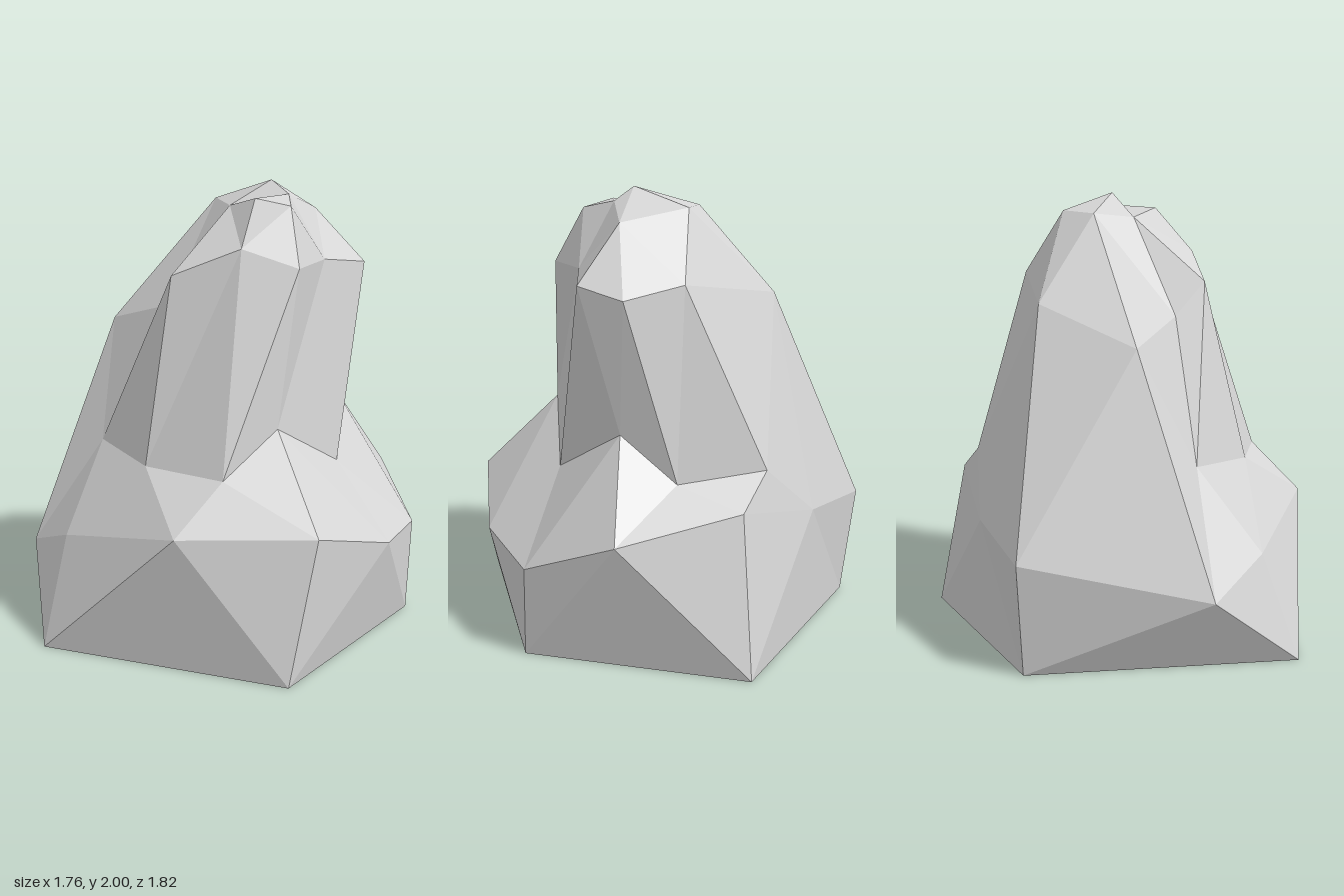
import * as THREE from 'three';

// Faceted boulder: five irregular rings from ground to crown, stitched with triangles.
// Every ring starts at the front left and runs counter-clockwise seen from above.
const base = [[-0.34, 0, 0.91], [0.75, 0, 0.64], [0.80, 0, -0.37], [-0.06, 0, -0.91], [-0.82, 0, -0.19]];

const shoulder = [
  [-0.34, 0.47, 0.74], [0.30, 0.60, 0.81], [0.80, 0.61, 0.50], [0.88, 0.46, 0.01], [0.80, 0.42, -0.41],
  [0.48, 0.60, -0.72], [-0.07, 0.70, -0.76], [-0.51, 0.57, -0.50], [-0.885, 0.505, -0.19], [-0.66, 0.34, 0.60],
];

// Foot of the spire, rising into its left flank
const ledge = [
  [-0.36, 0.84, 0.45], [0, 0.81, 0.60], [0.38, 0.80, 0.57], [0.48, 0.98, 0.30], [0.56, 0.76, -0.09],
  [0.37, 0.99, -0.43], [0.16, 0.79, -0.57], [-0.23, 0.83, -0.62], [-0.40, 1.53, -0.25], [-0.47, 1.36, 0.21],
];

const spire = [
  [-0.10, 1.46, 0.29], [0, 1.61, 0.40], [0.28, 1.73, 0.28], [0.50, 1.65, 0.17], [0.46, 1.66, -0.12],
  [0.53, 1.63, -0.37], [0.37, 1.58, -0.50], [0.10, 1.63, -0.49], [0.01, 1.92, -0.27], [-0.10, 1.91, -0.09],
];

const crown = [
  [0.07, 1.89, 0.05], [0.24, 1.93, 0.11], [0.39, 1.90, 0.06],
  [0.29, 1.94, -0.09], [0.32, 1.87, -0.28], [0.20, 2.00, -0.09],
];

// Stitch two closed rings: L steps along the lower ring, U along the upper one
function stitch(out, lower, upper, steps) {
  let l = 0, u = 0;
  for (const step of steps) {
    const a = lower[l % lower.length], b = upper[u % upper.length];
    if (step === 'L') out.push(a, lower[++l % lower.length], b);
    else out.push(a, upper[++u % upper.length], b);
  }
}

// Close a ring with a fan of triangles from one corner
function cap(out, ring, start, faceDown) {
  const at = (i) => ring[(start + i) % ring.length];
  for (let i = 1; i < ring.length - 1; i++) {
    if (faceDown) out.push(at(0), at(i + 1), at(i));
    else out.push(at(0), at(i), at(i + 1));
  }
}

export function createModel() {
  const stone = new THREE.MeshStandardMaterial({ color: 0xd5d5d5, flatShading: true });
  stone.name = 'pale grey stone';

  const corners = [];
  cap(corners, base, 0, true);
  stitch(corners, base, shoulder, 'ULUULUULUULUULU');
  stitch(corners, shoulder, ledge, 'UL'.repeat(10));
  stitch(corners, ledge, spire, 'UL'.repeat(7) + 'LUULUL');
  stitch(corners, spire, crown, 'LLUULLUULLLLULUL');
  cap(corners, crown, 3, false);

  const geometry = new THREE.BufferGeometry();
  geometry.setAttribute('position', new THREE.Float32BufferAttribute(corners.flat(), 3));
  geometry.computeVertexNormals();

  const boulder = new THREE.Mesh(geometry, stone);
  boulder.name = 'boulder';

  const model = new THREE.Group();
  model.name = 'rock';
  model.add(boulder);
  return model;
}
